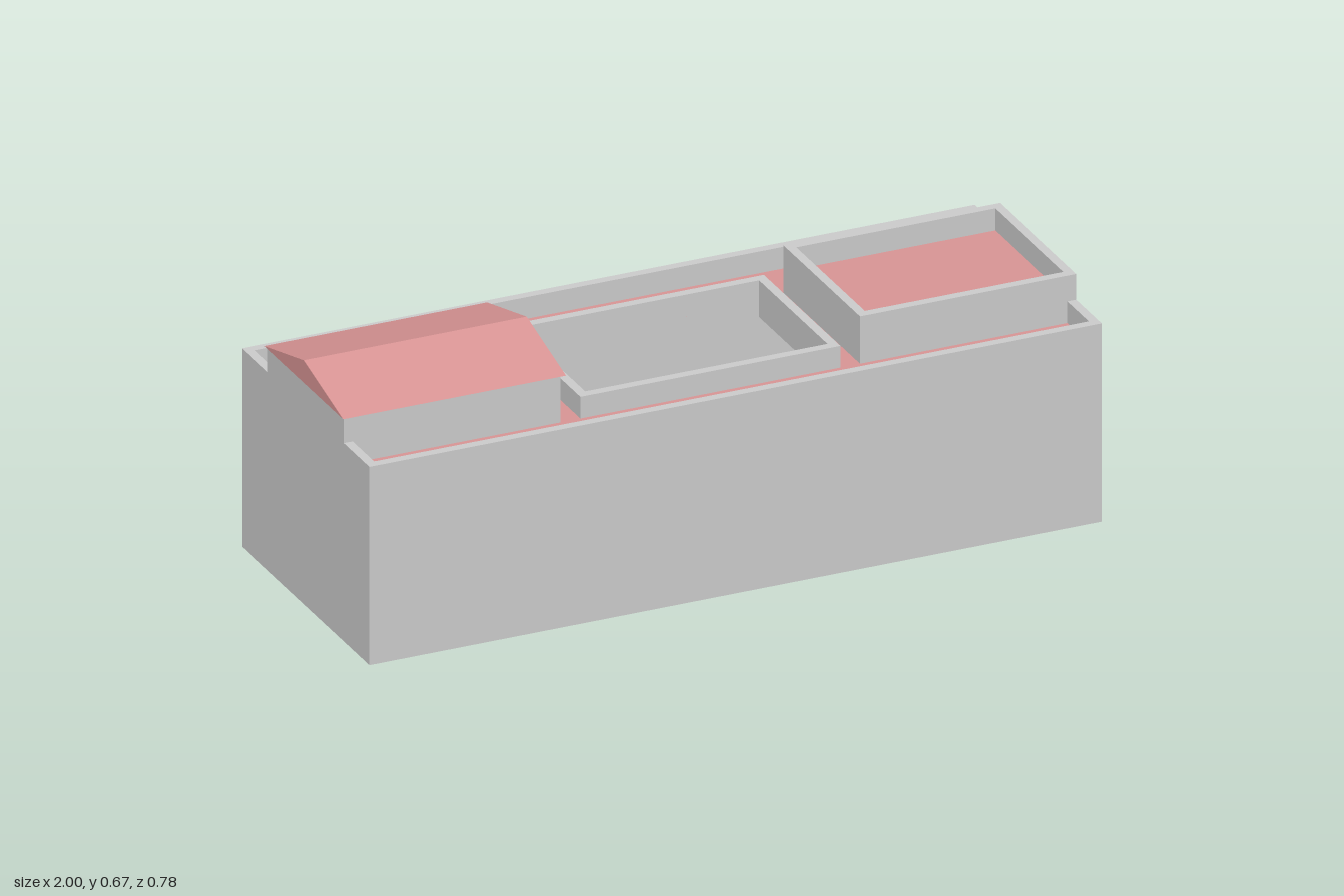
import * as THREE from 'three';

const grey = new THREE.MeshStandardMaterial({ color: 0xcccccc, side: THREE.DoubleSide });
const red = new THREE.MeshStandardMaterial({ color: 0xd89494 });

const T = 0.024; // wall thickness
const HX = 0.993, HZ = 0.377; // half size of the building
const BZ = 0.226; // half depth of the raised parts
const COURT = [-0.352, 0.353, BZ];

// Rectangle in plan, symmetric in z
function rect(Type, x0, x1, hz) {
  const p = new Type();
  p.moveTo(x0, -hz).lineTo(x1, -hz).lineTo(x1, hz).lineTo(x0, hz).closePath();
  return p;
}

function plan([x0, x1, hz], hole) {
  const s = rect(THREE.Shape, x0, x1, hz);
  if (hole) s.holes.push(rect(THREE.Path, ...hole));
  return s;
}

const inset = ([x0, x1, hz]) => [x0 + T, x1 - T, hz - T];

// Plan outline raised from y0 to y1
function slab(shape, y0, y1) {
  const g = new THREE.ExtrudeGeometry(shape, { depth: y1 - y0, bevelEnabled: false });
  return g.rotateX(-Math.PI / 2).translate(0, y0, 0);
}

// Flat upward-facing surface
const sheet = (shape, y) => new THREE.ShapeGeometry(shape).rotateX(-Math.PI / 2).translate(0, y, 0);

export function createModel() {
  const building = new THREE.Group();
  building.name = 'building';
  const add = (name, geometry, material = grey) => {
    const m = new THREE.Mesh(geometry, material);
    m.name = name;
    building.add(m);
  };

  // Outer walls: thin skirt at the foot, full thickness above, open underneath
  const outer = [-HX, HX, HZ];
  [-1, 1].forEach((s) => {
    add('skirtLong', new THREE.PlaneGeometry(2 * HX, 0.1).rotateY(s > 0 ? 0 : Math.PI).translate(0, 0.05, s * HZ));
    add('skirtEnd', new THREE.PlaneGeometry(2 * HZ, 0.1).rotateY((s * Math.PI) / 2).translate(s * HX, 0.05, 0));
  });
  add('outerWalls', slab(plan(outer, inset(outer)), 0.1, 0.54));

  // Main roof deck, pierced by the courtyard
  const deck = plan(inset(outer), inset(COURT));
  add('ceiling', slab(deck, 0.44, 0.479));
  add('roofDeck', sheet(deck, 0.481), red);
  add('courtyardParapet', slab(plan(COURT, inset(COURT)), 0.44, 0.54));

  // Raised part with a flat roof on the left, raised part under the gable on the right
  const left = [0.406, HX, BZ], right = [-HX, -0.406, BZ];
  add('leftRaisedWalls', slab(plan(left, inset(left)), 0.48, 0.61));
  add('leftFlatRoof', sheet(plan(inset(left)), 0.55), red);
  add('rightRaisedWalls', slab(plan(right, inset(right)), 0.48, 0.61));

  // Gable roof with a slight overhang
  const gable = new THREE.Shape();
  gable.moveTo(-0.233, 0.609).lineTo(0.233, 0.609).lineTo(0, 0.67).closePath();
  const gableGeo = new THREE.ExtrudeGeometry(gable, { depth: 0.604, bevelEnabled: false });
  add('gableRoof', gableGeo.rotateY(Math.PI / 2).translate(-0.998, 0, 0), red);

  // The building sits slightly turned on its plot
  building.rotation.y = -0.0115;
  const model = new THREE.Group();
  model.name = 'model';
  model.add(building);
  return model;
}
